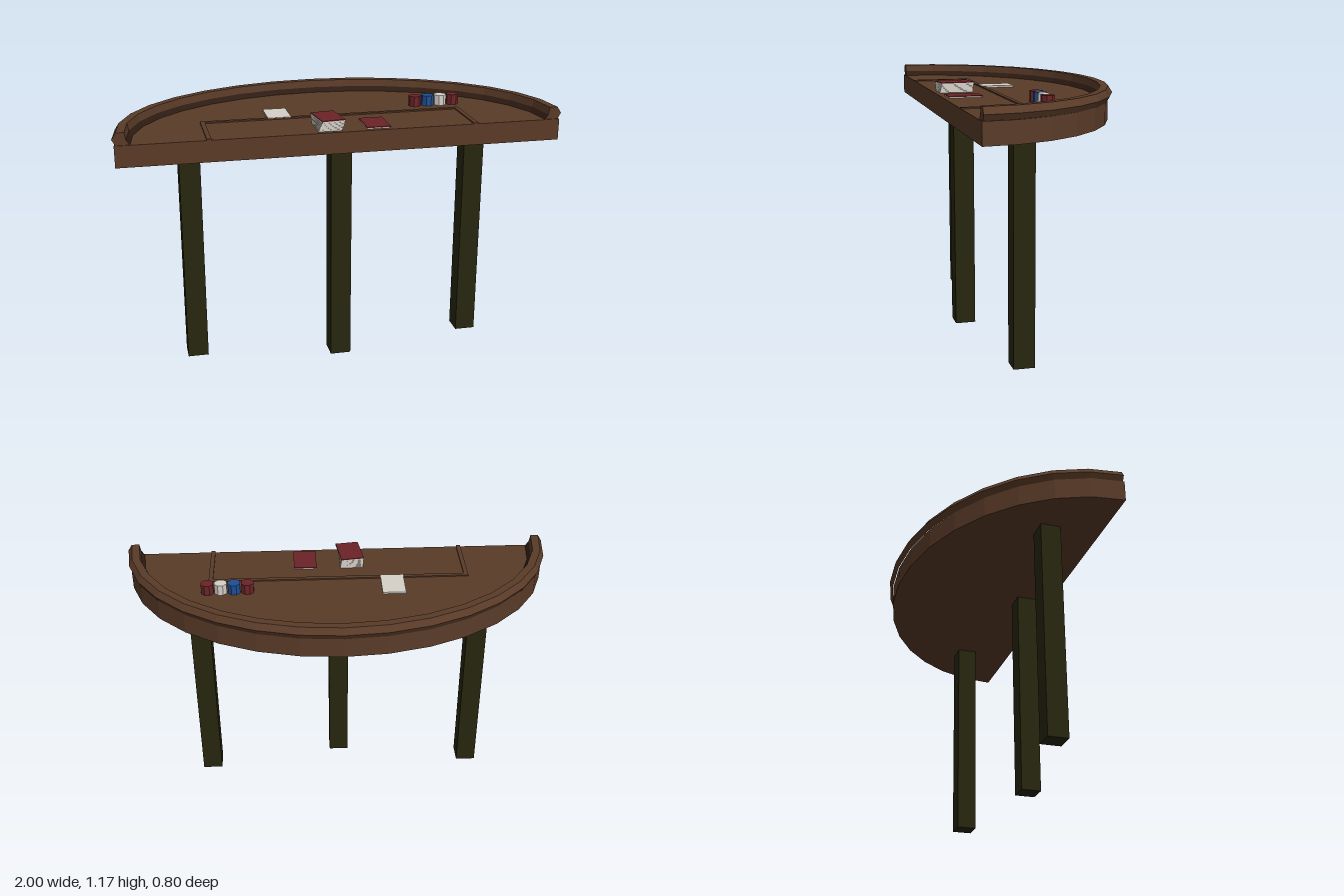
import * as THREE from 'three';

const mat = (name, color) => {
  const m = new THREE.MeshStandardMaterial({ color });
  m.name = name;
  return m;
};

export function createModel() {
  const wood = mat('brown wood', 0x5a3b28);
  const darkWood = mat('dark wood', 0x2e1c13);
  const legWood = mat('dark olive wood', 0x26260f);
  const red = mat('red', 0x6c2428);
  const blue = mat('blue', 0x1f4f93);
  const white = mat('off white', 0xd6d0c8);

  const model = new THREE.Group();
  model.name = 'cardTable';
  const add = (name, geometry, material, x = 0, y = 0, z = 0, turn = 0) => {
    const mesh = new THREE.Mesh(geometry, material);
    mesh.name = name;
    mesh.position.set(x, y, z);
    mesh.rotation.y = turn;
    model.add(mesh);
    return mesh;
  };

  const SEGMENTS = 16;
  const TOP = 1.117;

  // Half-oval table top
  const outline = [];
  for (let i = 0; i <= SEGMENTS; i++) {
    const a = (i / SEGMENTS) * Math.PI;
    outline.push(new THREE.Vector2(0.992 * Math.cos(a), 0.775 * Math.sin(a)));
  }
  const slab = new THREE.ExtrudeGeometry(new THREE.Shape(outline), { depth: TOP - 1.02, bevelEnabled: false });
  slab.rotateX(-Math.PI / 2);
  add('tableTop', slab, wood, 0, 1.02, 0.4);

  // Sweeps a profile of (radius, height) round the half oval, keeping its width
  const sweep = (points) => {
    let g = new THREE.LatheGeometry(points, SEGMENTS, Math.PI / 2, Math.PI);
    const p = g.attributes.position;
    for (let i = 0; i < p.count; i++) {
      const r = Math.hypot(p.getX(i), p.getZ(i));
      p.setZ(i, (p.getZ(i) / r) * (r - 0.21));
    }
    g = g.toNonIndexed();
    g.computeVertexNormals();
    return g;
  };
  const vec = (list) => list.map(([x, y]) => new THREE.Vector2(x, y));

  // Raised rail with a dark inner skirt and closed ends
  const railProfile = [[0.984, 1.115], [1, 1.143], [0.982, 1.172], [0.946, 1.172], [0.94, 1.139]];
  const skirtProfile = [[0.94, 1.139], [0.925, TOP]];
  add('rail', sweep(vec(railProfile)), wood, 0, 0, 0.395);
  add('railSkirt', sweep(vec(skirtProfile)), darkWood, 0, 0, 0.395);
  for (const side of [-1, 1]) {
    const end = [...railProfile, skirtProfile[1]].map(([x, y]) => [x * side, y]);
    add('railEnd', new THREE.ShapeGeometry(new THREE.Shape(vec(end))), wood, 0, 0, 0.395);
  }

  // Three square legs, the middle one further forward
  for (const [x, z] of [[-0.667, 0.158], [-0.002, 0.277], [0.663, 0.158]]) {
    add('leg', new THREE.BoxGeometry(0.095, 1.02, 0.095), legWood, x, 0.51, z);
  }

  // Thin raised border on the playing surface
  const border = (w, h, d, x, z) =>
    add('playBorder', new THREE.BoxGeometry(w, h, d), wood, x, TOP + h / 2, z);
  border(1.21, 0.006, 0.02, 0, 0.127);
  for (const side of [-1, 1]) border(0.02, 0.006, 0.265, side * 0.595, 0.2695);

  // Cards
  const card = (name, material, x, y, z, turn = 0, h = 0.006) =>
    add(name, new THREE.BoxGeometry(0.107, h, 0.157), material, x, y + h / 2, z, turn);
  card('faceUpCard', white, -0.246, TOP, 0.056, 0, 0.008);
  card('faceDownCard', white, 0.155, TOP, 0.298, 0, 0.004);
  card('faceDownCardBack', red, 0.155, TOP + 0.004, 0.298, 0, 0.004);

  // Slightly fanned deck with a red back on top
  for (let i = 0; i < 6; i++) {
    card('deckCard', white, -0.064 + i * 0.001, TOP + i * 0.0075, 0.298, i * 0.026, 0.007);
  }
  card('deckBack', red, -0.059, TOP + 0.0445, 0.298, 0.13, 0.004);

  // Row of chip stacks
  [red, blue, white, red].forEach((material, i) => {
    const chip = new THREE.CylinderGeometry(0.03, 0.03, 0.048, 8).toNonIndexed();
    chip.computeVertexNormals();
    add('chipStack', chip, material, 0.422 + i * 0.061, TOP + 0.024, 0.03, Math.PI / 8);
  });

  return model;
}
